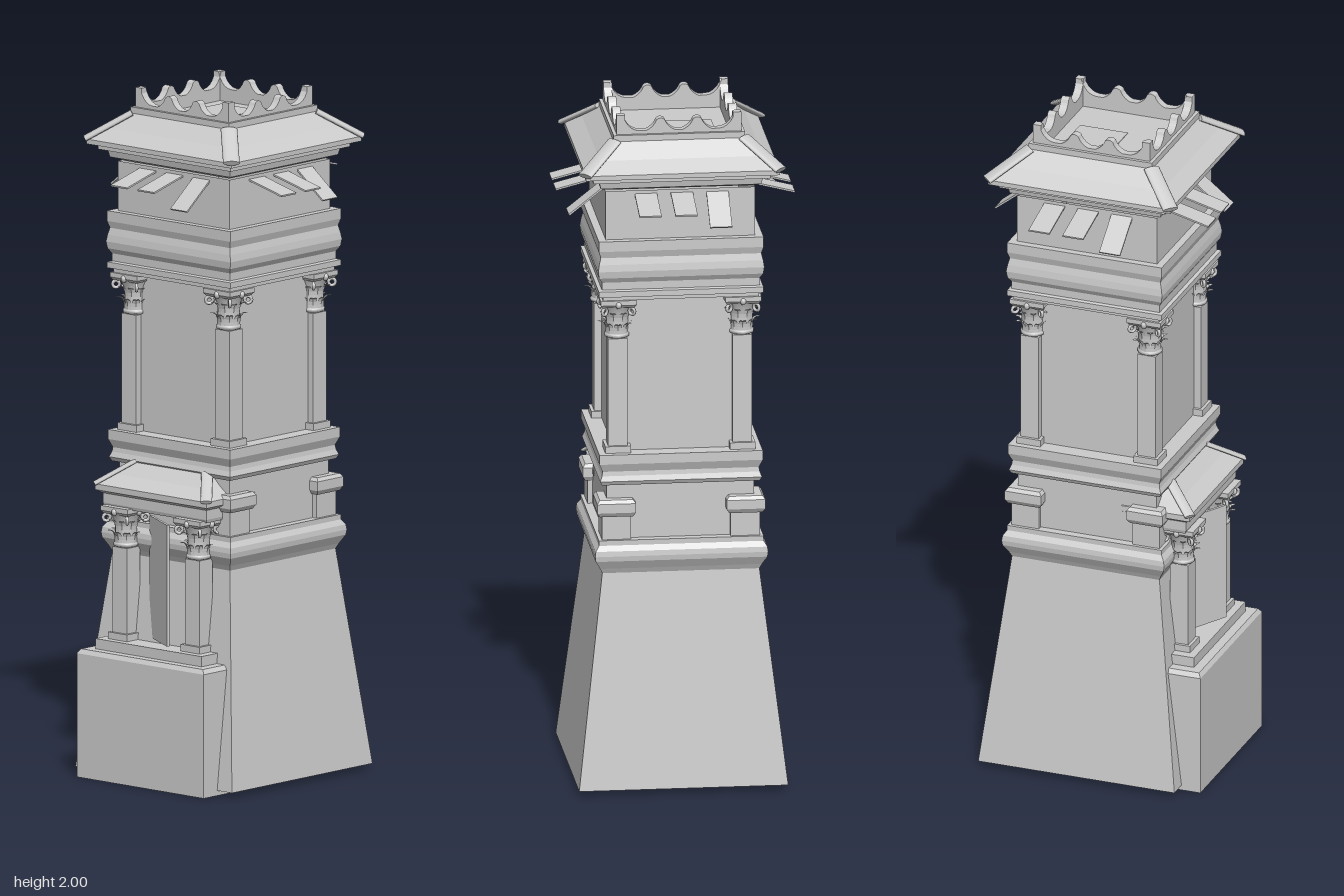
import * as THREE from 'three';

const flat = new THREE.MeshStandardMaterial({ color: 0xcccccc, flatShading: true, side: THREE.DoubleSide });
const smooth = new THREE.MeshStandardMaterial({ color: 0xcccccc, side: THREE.DoubleSide });

function add(parent, name, geometry, x = 0, y = 0, z = 0, material = flat) {
  const mesh = new THREE.Mesh(geometry, material);
  mesh.name = name;
  mesh.position.set(x, y, z);
  parent.add(mesh);
  return mesh;
}

function box(parent, name, w, h, d, x, y, z) {
  return add(parent, name, new THREE.BoxGeometry(w, h, d), x, y, z);
}

// Open rectangular loft through rows of [half width, half depth, height]
function loft(rows) {
  const pos = [], index = [];
  for (const [hx, hz, y] of rows) {
    for (const [sx, sz] of [[1, 1], [1, -1], [-1, -1], [-1, 1]]) pos.push(sx * hx, y, sz * hz);
  }
  for (let r = 0; r < rows.length - 1; r++) {
    for (let k = 0; k < 4; k++) {
      const a = r * 4 + k, b = r * 4 + (k + 1) % 4;
      index.push(a, b, b + 4, a, b + 4, a + 4);
    }
  }
  let g = new THREE.BufferGeometry();
  g.setAttribute('position', new THREE.Float32BufferAttribute(pos, 3));
  g.setIndex(index);
  g = g.toNonIndexed();
  g.computeVertexNormals();
  return g;
}
const squareLoft = (profile) => loft(profile.map(([h, y]) => [h, h, y]));

// Rounded hip tile running between two points
function ridge(parent, from, to, radius) {
  const a = new THREE.Vector3(...from), b = new THREE.Vector3(...to);
  const g = new THREE.CylinderGeometry(radius, radius, a.distanceTo(b), 12);
  g.rotateX(Math.PI / 2).scale(1, 0.35, 1);
  const mesh = add(parent, 'hipRidge', g, 0, 0, 0, smooth);
  mesh.position.copy(a).add(b).multiplyScalar(0.5);
  mesh.lookAt(b);
}

// Leaf that curls outward towards its tip
function leafGeometry(w, h, curl) {
  const g = new THREE.PlaneGeometry(w, h, 2, 5).translate(0, h / 2, 0);
  const p = g.attributes.position;
  for (let i = 0; i < p.count; i++) {
    const t = p.getY(i) / h, side = Math.abs(p.getX(i)) / (w / 2);
    p.setX(i, p.getX(i) * (1 - 0.6 * t * t));
    p.setY(i, h * (t - 0.3 * t ** 4));
    p.setZ(i, curl * t ** 3 - 0.004 * side);
  }
  g.computeVertexNormals();
  return g;
}

// Leafy capital, 0.12 high, standing on y = 0
function capital() {
  const c = new THREE.Group();
  c.name = 'capital';
  const bell = [[0.028, 0], [0.036, 0.004], [0.036, 0.012], [0.029, 0.016], [0.03, 0.05], [0.036, 0.08], [0.046, 0.1]];
  add(c, 'bell', new THREE.LatheGeometry(bell.map(([r, y]) => new THREE.Vector2(r, y)), 16), 0, 0, 0, smooth);
  add(c, 'abacus', squareLoft([[0, 0.098], [0.046, 0.098], [0.052, 0.106], [0.052, 0.12], [0, 0.12]]));
  for (let tier = 0; tier < 2; tier++) {
    for (let i = 0; i < 8; i++) {
      const a = (i + tier / 2) * Math.PI / 4;
      const leaf = add(c, 'leaf', leafGeometry(0.026, tier ? 0.055 : 0.048, 0.022),
        Math.sin(a) * 0.033, tier ? 0.042 : 0.014, Math.cos(a) * 0.033);
      leaf.rotation.y = a;
    }
  }
  for (let i = 0; i < 4; i++) {
    const a = Math.PI / 4 + i * Math.PI / 2;
    const volute = add(c, 'volute', new THREE.TorusGeometry(0.01, 0.005, 6, 12), Math.sin(a) * 0.056, 0.085, Math.cos(a) * 0.056, smooth);
    volute.rotation.y = a + Math.PI / 2;
    const boss = add(c, 'boss', new THREE.SphereGeometry(0.009, 8, 6), Math.sin(a - Math.PI / 4) * 0.05, 0.106, Math.cos(a - Math.PI / 4) * 0.05, smooth);
    boss.scale.y = 1.2;
  }
  return c;
}

function column(parent, x, z, y0, y1) {
  const g = new THREE.Group();
  g.name = 'column';
  const h = y1 - y0;
  box(g, 'plinth', 0.074, 0.02, 0.074, 0, 0.01, 0);
  box(g, 'shaft', 0.056, h - 0.12, 0.056, 0, (h - 0.12) / 2, 0);
  const cap = capital();
  cap.position.y = h - 0.12;
  g.add(cap);
  g.position.set(x, y0, z);
  parent.add(g);
}

// One side of the parapet, with half merlons at the ends and two rounded ones between
function parapetGeometry() {
  const s = new THREE.Shape();
  s.moveTo(-0.18, 1.91);
  s.lineTo(0.18, 1.91);
  s.lineTo(0.18, 2);
  s.lineTo(0.162, 2);
  s.quadraticCurveTo(0.148, 1.955, 0.115, 1.953);
  for (const x of [0.053, -0.053]) {
    s.lineTo(x + 0.042, 1.953);
    s.quadraticCurveTo(x + 0.02, 1.962, x + 0.012, 1.984);
    s.quadraticCurveTo(x, 1.994, x - 0.012, 1.984);
    s.quadraticCurveTo(x - 0.02, 1.962, x - 0.042, 1.953);
  }
  s.lineTo(-0.115, 1.953);
  s.quadraticCurveTo(-0.148, 1.955, -0.162, 2);
  s.lineTo(-0.18, 2);
  return new THREE.ExtrudeGeometry(s, { depth: 0.024, bevelEnabled: false, curveSegments: 5 });
}

function buildTower() {
  const t = new THREE.Group();
  t.name = 'tower';
  add(t, 'batteredBase', squareLoft([[0.302, 0.015], [0.227, 0.645]]));
  add(t, 'baseMoulding', squareLoft([[0.227, 0.645], [0.234, 0.66], [0.248, 0.685], [0.25, 0.7], [0.248, 0.715],
    [0.238, 0.73], [0.238, 0.745], [0.213, 0.745]]));
  add(t, 'middleWall', squareLoft([[0.213, 0.73], [0.213, 0.905]]));
  add(t, 'middleMoulding', squareLoft([[0.213, 0.905], [0.228, 0.908], [0.234, 0.92], [0.228, 0.935], [0.226, 0.948],
    [0.236, 0.972], [0.236, 1], [0.18, 1]]));
  add(t, 'upperWall', squareLoft([[0.187, 1], [0.187, 1.465]]));
  add(t, 'upperMoulding', squareLoft([[0.18, 1.46], [0.225, 1.46], [0.225, 1.47], [0.238, 1.473], [0.238, 1.49],
    [0.228, 1.493], [0.228, 1.515], [0.237, 1.53], [0.24, 1.55], [0.237, 1.57], [0.232, 1.59], [0.238, 1.61], [0.238, 1.64], [0.216, 1.64]]));
  add(t, 'topStorey', squareLoft([[0.216, 1.64], [0.216, 1.785]]));
  add(t, 'cornice', squareLoft([[0.2, 1.785], [0.232, 1.797], [0.236, 1.815], [0.256, 1.82], [0.256, 1.833], [0.28, 1.836], [0.28, 1.85]]));
  add(t, 'roof', squareLoft([[0.28, 1.85], [0.235, 1.882], [0.19, 1.925], [0.19, 1.943], [0.165, 1.943]]));
  box(t, 'roofFloor', 0.33, 0.015, 0.33, 0, 1.908, 0);
  box(t, 'hatch', 0.147, 0.003, 0.147, -0.043, 1.916, -0.043);

  for (const sx of [1, -1]) {
    for (const sz of [1, -1]) {
      box(t, 'cornerBlock', 0.084, 0.1, 0.084, sx * 0.186, 0.775, sz * 0.186);
      add(t, 'cornerBlockCap', squareLoft([[0, 0.815], [0.048, 0.815], [0.056, 0.828], [0.056, 0.855], [0.048, 0.865], [0, 0.865]]), sx * 0.187, 0, sz * 0.187);
      column(t, sx * 0.18, sz * 0.18, 1, 1.46);
      ridge(t, [sx * 0.283, 1.852, sz * 0.283], [sx * 0.187, 1.926, sz * 0.187], 0.024);
    }
  }

  for (let i = 0; i < 4; i++) {
    const side = new THREE.Group();
    side.name = 'topSide';
    side.rotation.y = i * Math.PI / 2;
    t.add(side);
    add(side, 'parapet', parapetGeometry(), 0, 0, 0.156);
    // Propped shutters, the last one lowered further
    for (const [x, length, tilt] of [[-0.1, 0.13, 0.25], [0.004, 0.13, 0.25], [0.107, 0.126, 0.67]]) {
      const g = new THREE.BoxGeometry(0.064, 0.005, length).translate(0, 0, length / 2);
      add(side, 'shutter', g, x, 1.773, 0.214).rotation.x = tilt;
    }
  }
  t.position.z = -0.01;
  return t;
}

function buildPortico() {
  const p = new THREE.Group();
  p.name = 'portico';
  add(p, 'podium', loft([[0.245, 0.065, 0], [0.245, 0.065, 0.362], [0.235, 0.057, 0.375], [0, 0, 0.375]]), 0, 0, 0.285);
  box(p, 'step', 0.41, 0.03, 0.1, 0, 0.39, 0.265);
  for (const s of [1, -1]) column(p, s * 0.14, 0.255, 0.405, 0.795);
  add(p, 'porticoRoof', loft([[0, 0, 0.79], [0.197, 0.085, 0.79], [0.2, 0.088, 0.8], [0.2, 0.088, 0.828], [0.215, 0.105, 0.838],
    [0.215, 0.105, 0.855], [0.178, 0.06, 0.882], [0.138, 0.018, 0.92], [0, 0, 0.92]]), 0, 0, 0.2);
  for (const s of [1, -1]) ridge(p, [s * 0.216, 0.856, 0.307], [s * 0.138, 0.92, 0.216], 0.017);
  // Door leaf standing ajar, hinged on the right-hand jamb
  const leaf = add(p, 'door', new THREE.BoxGeometry(0.158, 0.355, 0.008).translate(0.079, 0, 0), -0.068, 0.593, 0.228);
  leaf.rotation.y = -0.52;
  return p;
}

export function createModel() {
  const model = new THREE.Group();
  model.name = 'watchtower';
  model.add(buildTower(), buildPortico());
  return model;
}
